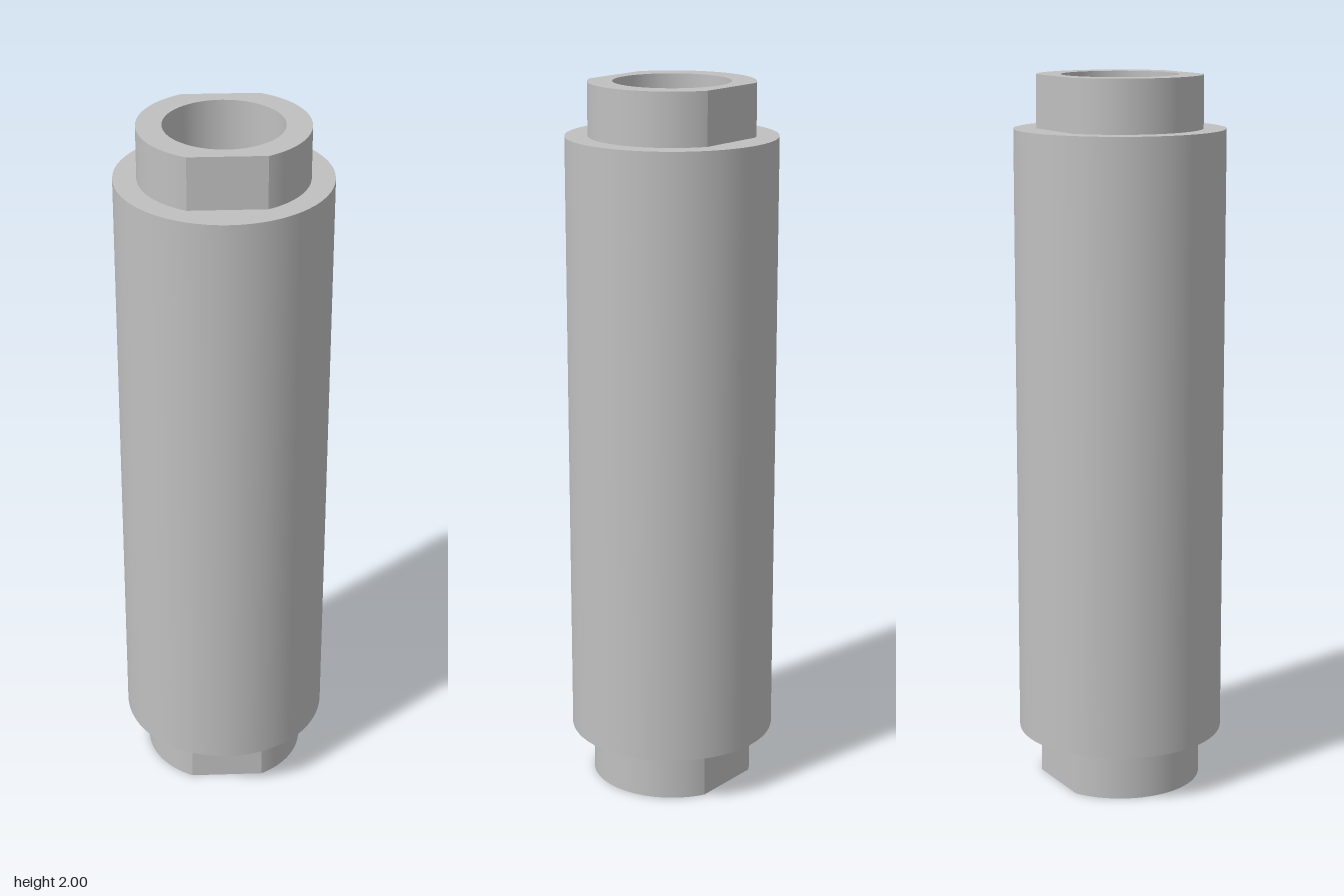
import * as THREE from 'three';

const HEIGHT = 2, SHOULDER = 0.145;
const BODY_R = 0.29, COLLAR_R = 0.2275, BORE_R = 0.16, FLAT_Z = 0.203;
const SEGMENTS = 64;

export function createModel() {
  const metal = new THREE.MeshStandardMaterial({ color: 0xc0c0c0 });
  metal.name = 'greyMetal';
  const model = new THREE.Group();
  model.name = 'spacerSleeve';

  const add = (parent, name, geometry) => {
    const mesh = new THREE.Mesh(geometry, metal);
    mesh.name = name;
    parent.add(mesh);
    return mesh;
  };

  // Smooth wall; it faces outward when y0 < y1 and inward when reversed
  const wall = (r, y0, y1, start = 0, sweep = Math.PI * 2) =>
    new THREE.LatheGeometry([new THREE.Vector2(r, y0), new THREE.Vector2(r, y1)], SEGMENTS, start, sweep);

  const circle = (path, r) => path.absarc(0, 0, r, 0, Math.PI * 2);
  // Circle cut by two parallel flats
  const flattened = (path) => {
    const t = Math.asin(FLAT_Z / COLLAR_R);
    path.absarc(0, 0, COLLAR_R, -t, t);
    path.absarc(0, 0, COLLAR_R, Math.PI - t, Math.PI + t);
    path.closePath();
    return path;
  };
  // Upward facing ring
  const ring = (outer, hole, y) => {
    outer.holes.push(hole);
    return new THREE.ShapeGeometry(outer, SEGMENTS / 2).rotateX(-Math.PI / 2).translate(0, y, 0);
  };

  // Main barrel and through bore
  add(model, 'barrel', wall(BODY_R, SHOULDER, HEIGHT - SHOULDER));
  add(model, 'bore', wall(BORE_R, HEIGHT, 0));

  // Matching collars with wrench flats, the lower one turned over
  const flatAngle = Math.acos(FLAT_Z / COLLAR_R);
  const flatWidth = 2 * COLLAR_R * Math.sin(flatAngle);
  for (const top of [true, false]) {
    const end = new THREE.Group();
    end.name = top ? 'topCollar' : 'bottomCollar';
    end.position.y = top ? HEIGHT - SHOULDER : SHOULDER;
    if (!top) end.rotation.x = Math.PI;
    model.add(end);

    add(end, 'shoulder', ring(circle(new THREE.Shape(), BODY_R), flattened(new THREE.Path()), 0));
    add(end, 'endFace', ring(flattened(new THREE.Shape()), circle(new THREE.Path(), BORE_R), SHOULDER));
    for (const turn of [0, Math.PI]) {
      add(end, 'collarWall', wall(COLLAR_R, 0, SHOULDER, turn + flatAngle, Math.PI - 2 * flatAngle));
      add(end, 'wrenchFlat', new THREE.PlaneGeometry(flatWidth, SHOULDER)
        .translate(0, SHOULDER / 2, FLAT_Z).rotateY(turn));
    }
  }
  return model;
}
